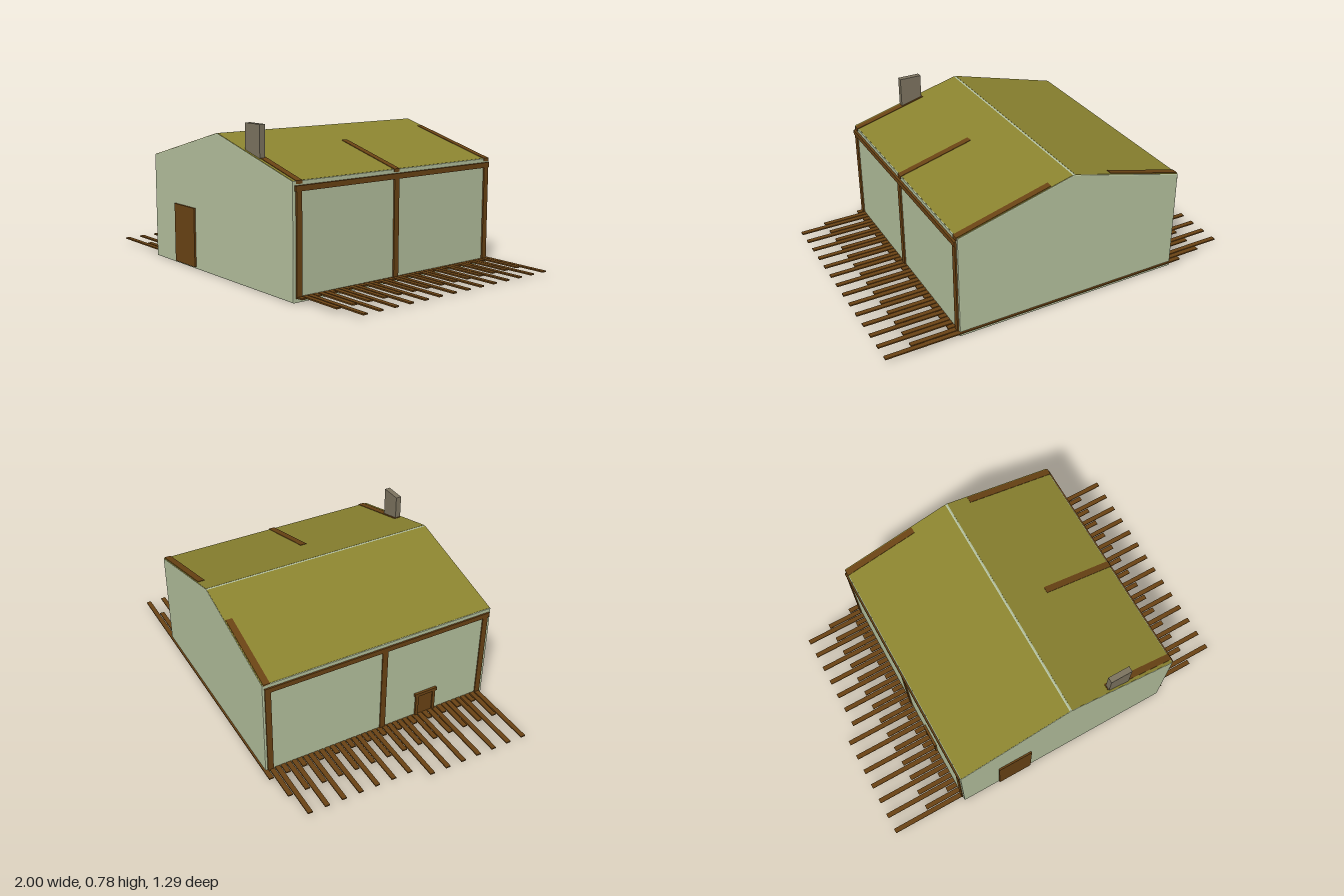
import * as THREE from 'three';

const mat = (color) => new THREE.MeshStandardMaterial({ color });
const WALL = mat(0xb5c19e), ROOF = mat(0x8c8430), WOOD = mat(0x6a4314), STONE = mat(0x7d7460);

const X0 = -0.6, X1 = 0.617, RIDGE = 0.01, EAVE = 0.55, TOP = 0.713, HALF = 0.635;

// height of the roof surface at x
const roofY = (x) => x > RIDGE
  ? TOP + (EAVE - TOP) * (x - RIDGE) / (X1 - RIDGE)
  : TOP + (EAVE - TOP) * (RIDGE - x) / (RIDGE - X0);

export function createModel() {
  const house = new THREE.Group();
  house.name = 'house';

  // box given by its two corners
  function box(name, material, a, b, parent = house) {
    const mesh = new THREE.Mesh(
      new THREE.BoxGeometry(b[0] - a[0], b[1] - a[1], b[2] - a[2]), material);
    mesh.position.set((a[0] + b[0]) / 2, (a[1] + b[1]) / 2, (a[2] + b[2]) / 2);
    mesh.name = name;
    parent.add(mesh);
    return mesh;
  }

  // thin strip lying along the roof slope between two x positions
  function slopeStrip(name, material, xa, xb, za, zb, rise, parent = house) {
    const ya = roofY(xa), yb = roofY(xb), depth = 0.012;
    const s = new THREE.Shape();
    s.moveTo(xa, ya - depth);
    s.lineTo(xb, yb - depth);
    s.lineTo(xb, yb + rise);
    s.lineTo(xa, ya + rise);
    const geo = new THREE.ExtrudeGeometry(s, { depth: zb - za, bevelEnabled: false });
    const mesh = new THREE.Mesh(geo, material);
    mesh.position.z = za;
    mesh.name = name;
    parent.add(mesh);
  }

  // solid gabled body with a fine softened edge
  const gable = new THREE.Shape();
  gable.moveTo(X0, 0);
  gable.lineTo(X1, 0);
  gable.lineTo(X1, EAVE);
  gable.lineTo(RIDGE, TOP);
  gable.lineTo(X0, EAVE);
  const bevel = 0.005;
  const body = new THREE.Mesh(new THREE.ExtrudeGeometry(gable, {
    depth: 2 * (HALF - bevel), bevelThickness: bevel, bevelSize: bevel,
    bevelOffset: -bevel, bevelSegments: 2,
  }), WALL);
  body.position.z = -HALF + bevel;
  body.name = 'walls';
  house.add(body);

  // roof panels, leaving a pale ridge line
  slopeStrip('leftRoof', ROOF, RIDGE + 0.006, X1 - 0.004, -0.632, 0.632, 0.001);
  slopeStrip('rightRoof', ROOF, X0 + 0.004, RIDGE - 0.006, -0.632, 0.632, 0.001);

  // timber frame: posts and eave beams on both long sides
  const frame = new THREE.Group();
  frame.name = 'timberFrame';
  house.add(frame);
  for (const z of [0.603, 0.018, -0.608]) {
    box('leftPost', WOOD, [0.6, 0.02, z - 0.015], [0.625, 0.53, z + 0.015], frame);
    box('rightPost', WOOD, [-0.606, 0.02, z - 0.015], [-0.58, 0.53, z + 0.015], frame);
  }
  box('leftEaveBeam', WOOD, [0.6, 0.505, -0.623], [0.629, 0.531, 0.624], frame);
  box('rightEaveBeam', WOOD, [-0.608, 0.505, -0.623], [-0.58, 0.531, 0.624], frame);

  // rafters just showing through the roof
  for (const [xa, xb, z] of [
    [0.23, 0.62, 0.6], [0.23, 0.62, 0.015], [0.13, 0.62, -0.61], [-0.6, -0.2, -0.61],
  ]) slopeStrip('rafter', WOOD, xa, xb, z - 0.017, z + 0.017, 0.004, frame);

  // doors
  box('frontDoor', WOOD, [-0.39, 0.01, 0.6], [-0.2, 0.315, 0.644]);
  const hatch = new THREE.Group();
  hatch.name = 'sideDoor';
  house.add(hatch);
  box('sideDoorPanel', WOOD, [-0.604, 0.02, 0.22], [-0.58, 0.15, 0.32], hatch);
  for (const z of [0.22, 0.32])
    box('sideDoorJamb', WOOD, [-0.61, 0.02, z - 0.008], [-0.58, 0.15, z + 0.008], hatch);
  box('sideDoorLintel', WOOD, [-0.613, 0.148, 0.205], [-0.58, 0.166, 0.335], hatch);

  // chimney
  box('chimney', STONE, [0.235, 0.6, 0.592], [0.352, 0.78, 0.622]);

  // staggered floor slats running under the house and out on both sides
  const floor = new THREE.Group();
  floor.name = 'floorSlats';
  house.add(floor);
  const ends = [[-0.66, 1], [-0.8, 0.86], [-0.94, 0.655]];
  for (let i = 0; i < 42; i++) {
    const z = -0.632 + i * 0.0301;
    let [xa, xb] = ends[i % 3];
    if (i % 3 === 2 && i > 20) xa = -1;
    box('slat', WOOD, [xa, 0.02, z - 0.0125], [xb, 0.027, z + 0.0125], floor);
  }
  return house;
}
